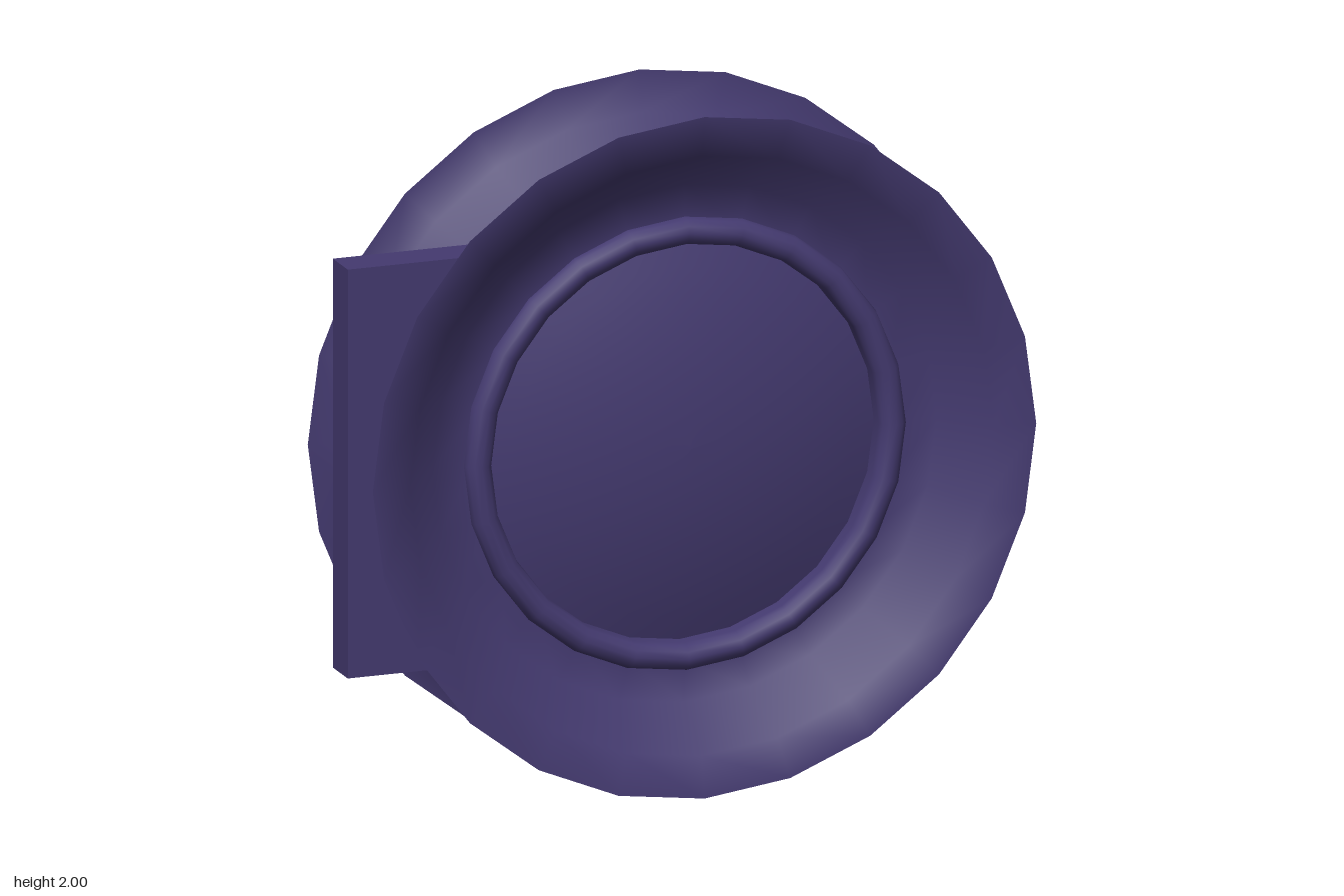
import * as THREE from 'three';

const SEGMENTS = 24;

export function createModel() {
  const model = new THREE.Group();
  model.name = 'doubleHorn';
  const material = new THREE.MeshStandardMaterial({ color: 0x443a70, side: THREE.DoubleSide });

  const add = (parent, geometry, name) => {
    const mesh = new THREE.Mesh(geometry, material);
    mesh.name = name;
    parent.add(mesh);
    return mesh;
  };

  // Lathe around the z axis; each profile point is [radius, z]
  const turned = (points) => new THREE.LatheGeometry(
    points.map(([r, z]) => new THREE.Vector2(r, z)), SEGMENTS).rotateX(Math.PI / 2);

  // Central drum
  const core = add(model, new THREE.CylinderGeometry(0.6, 0.6, 0.12, SEGMENTS).rotateX(Math.PI / 2), 'core');
  core.position.y = 1;

  // Flat block leaving the drum on one side
  const block = add(model, new THREE.BoxGeometry(1, 1.2, 0.12), 'sideBlock');
  block.position.set(-0.5, 1, 0);

  // Rounded ring: straight walls with a half-round crown
  const ringProfile = [[0.665, 0.06]];
  for (let i = 0; i <= 6; i++) {
    const a = (i / 6) * Math.PI;
    ringProfile.push([0.625 + 0.04 * Math.cos(a), 0.1 + 0.04 * Math.sin(a)]);
  }
  ringProfile.push([0.585, 0.06]);

  // Shallow dome that fills the ring
  const domeProfile = [];
  for (let i = 0; i <= 8; i++) {
    const t = i / 8;
    domeProfile.push([0.59 * t, 0.06 + 0.1 * (1 - t * t)]);
  }

  // The same horn, ring and dome on the front and the back
  for (const [name, turn] of [['front', 0], ['back', Math.PI]]) {
    const side = new THREE.Group();
    side.name = name + 'Side';
    side.position.y = 1;
    side.rotation.y = turn;
    add(side, turned([[1, 0.26], [0.88, 0.24], [0.76, 0.1], [0.64, 0.1]]), name + 'Horn');
    add(side, turned(ringProfile), name + 'Ring');
    add(side, turned(domeProfile.reverse()), name + 'Dome');
    domeProfile.reverse();
    model.add(side);
  }

  return model;
}
